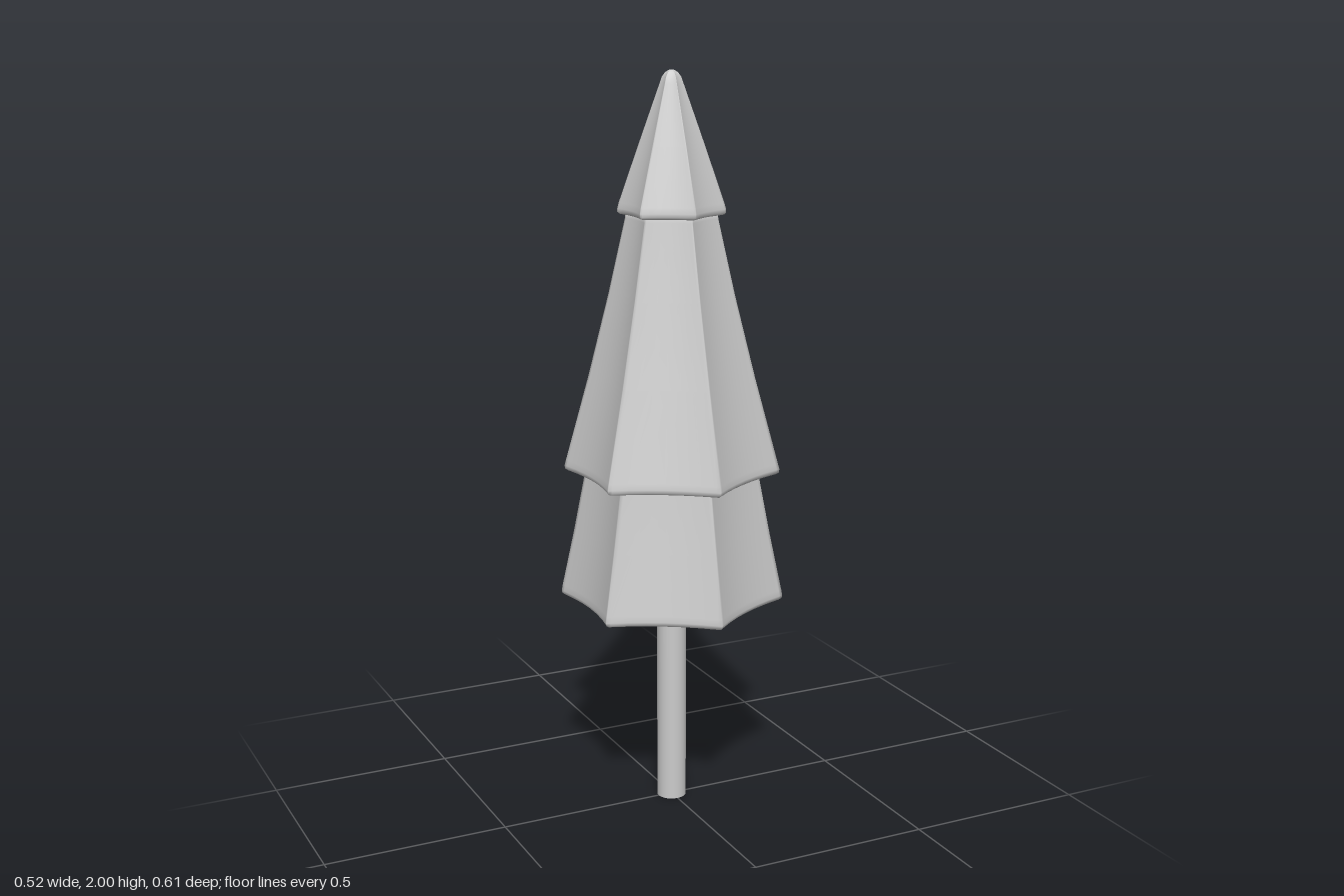
import * as THREE from 'three';

const SIDES = 6;
const STEPS = [0, 0.035, 0.18, 0.34, 0.5, 0.66, 0.82, 0.965]; // positions along one side
const DIP = 0.056; // how far each side bows inward, relative to the corner radius

// Unit six-pointed outline with hollow sides, corners on the z axis
function starOutline() {
  const points = [];
  for (let s = 0; s < SIDES; s++) {
    const a = (s / SIDES) * Math.PI * 2, b = ((s + 1) / SIDES) * Math.PI * 2, m = (a + b) / 2;
    for (const t of STEPS) {
      const dip = DIP * 4 * t * (1 - t);
      points.push([
        THREE.MathUtils.lerp(Math.sin(a), Math.sin(b), t) - Math.sin(m) * dip,
        THREE.MathUtils.lerp(Math.cos(a), Math.cos(b), t) - Math.cos(m) * dip,
      ]);
    }
  }
  return points;
}

// Sweep the outline through [corner radius, height] pairs, from bottom to top
function loft(profile) {
  const outline = starOutline(), n = outline.length;
  const positions = [], index = [];
  profile.forEach(([r, y], i) => {
    outline.forEach(([x, z], j) => {
      positions.push(x * r, y, z * r);
      if (i === profile.length - 1) return;
      const a = i * n + j, b = i * n + ((j + 1) % n);
      index.push(a, b, b + n, a, b + n, a + n);
    });
  });
  const geometry = new THREE.BufferGeometry();
  geometry.setAttribute('position', new THREE.Float32BufferAttribute(positions, 3));
  geometry.setIndex(index);
  geometry.computeVertexNormals();
  return geometry;
}

export function createModel() {
  const group = new THREE.Group();
  const material = new THREE.MeshStandardMaterial({ color: 0xcccccc });
  const add = (name, geometry) => {
    const mesh = new THREE.Mesh(geometry, material);
    mesh.name = name;
    group.add(mesh);
    return mesh;
  };

  // Trunk
  add('trunk', new THREE.CylinderGeometry(0.04, 0.04, 0.6, 24)).position.y = 0.3;

  // Foliage tiers: flat underside, small rounded lip, tapering skirt
  add('lowerTier', loft([
    [0, 0.58], [0.28, 0.58], [0.293, 0.581], [0.301, 0.586], [0.303, 0.594], [0.3, 0.61],
    [0.266, 0.77], [0.235, 0.93], [0.234, 0.945], [0, 0.945],
  ]));
  add('middleTier', loft([
    [0, 0.934], [0.265, 0.934], [0.281, 0.936], [0.289, 0.941], [0.29, 0.95], [0.286, 0.965],
    [0.222, 1.2], [0.167, 1.42], [0.122, 1.62], [0.12, 1.64], [0, 1.64],
  ]));
  add('topTier', loft([
    [0, 1.629], [0.125, 1.629], [0.136, 1.631], [0.142, 1.636], [0.142, 1.645], [0.138, 1.66],
    [0.086, 1.81], [0.031, 1.965], [0.025, 1.982], [0.017, 1.993], [0.008, 1.999], [0, 2],
  ]));
  return group;
}
